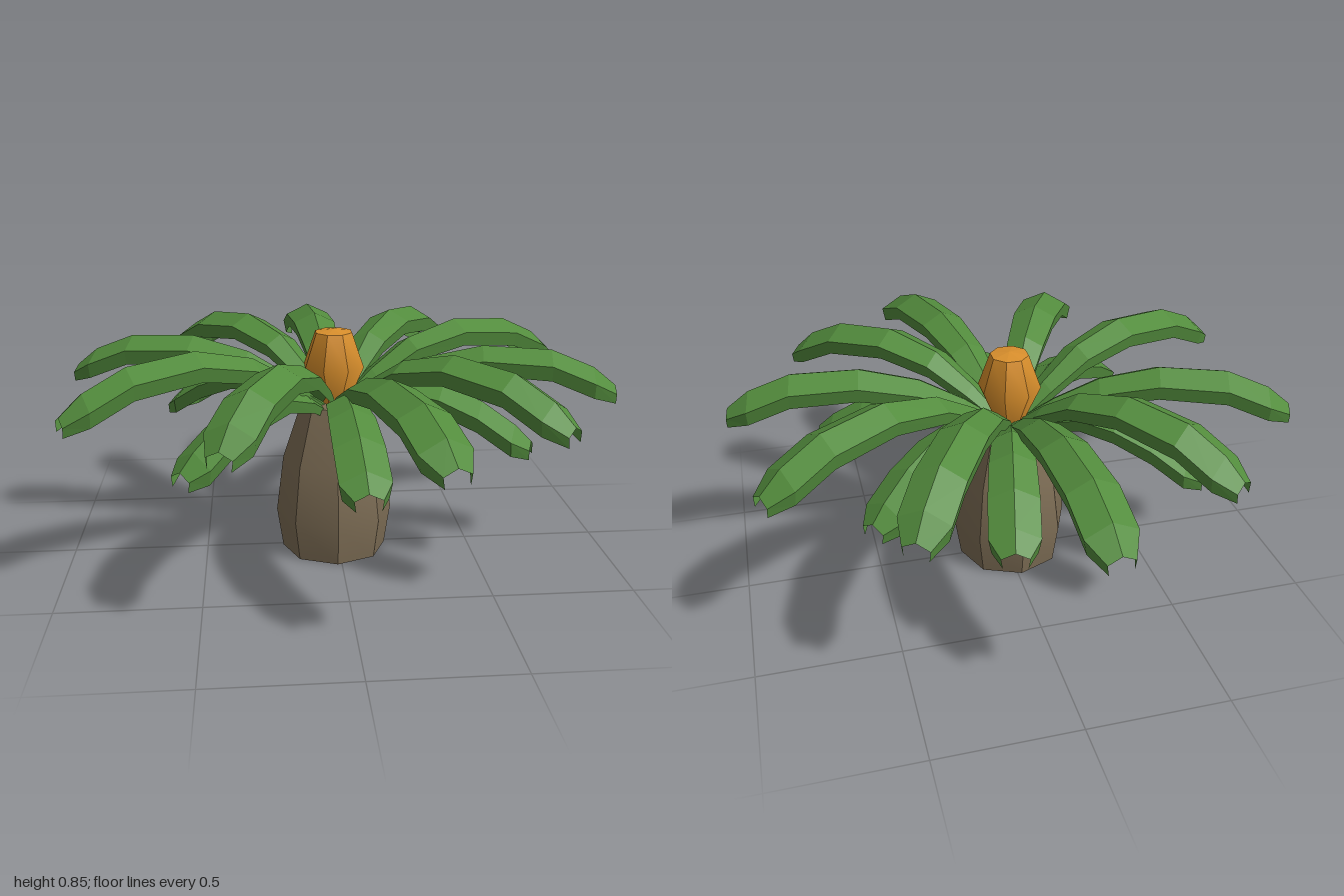
import * as THREE from 'three';
import { mergeGeometries, toCreasedNormals } from 'three/addons/utils/BufferGeometryUtils.js';

const paint = (name, options) => {
  const m = new THREE.MeshStandardMaterial(options);
  m.name = name;
  return m;
};

// Folded leaf with hanging side skirts, running along +x; rings are [distance, ridge height, half width]
function frondGeometry(rings) {
  const positions = [];
  const index = [];
  rings.forEach(([r, y, w], i) => {
    const edge = y - w * 0.48;
    const hem = edge - 0.015 - w * 0.45;
    positions.push(r, hem, -w * 0.88, r, edge, -w, r, y, 0, r, edge, w, r, hem, w * 0.88);
    if (i === 0) return;
    const b = i * 5, a = b - 5;
    for (let k = 0; k < 4; k++) {
      index.push(a + k, a + k + 1, b + k + 1, a + k, b + k + 1, b + k);
    }
  });
  const g = new THREE.BufferGeometry();
  g.setAttribute('position', new THREE.Float32BufferAttribute(positions, 3));
  g.setIndex(index);
  const out = g.toNonIndexed();
  out.computeVertexNormals();
  return out;
}

// Eight sharp-edged staves, each smooth along its height, from [radius, height] pairs
function turned(profile, phase, material, name) {
  const pts = profile.map(([r, y]) => new THREE.Vector2(r, y));
  const staves = [];
  for (let i = 0; i < 8; i++) {
    const stave = new THREE.LatheGeometry(pts, 1, phase + i * Math.PI / 4, Math.PI / 4);
    staves.push(toCreasedNormals(stave, 0.9));
  }
  const mesh = new THREE.Mesh(mergeGeometries(staves), material);
  mesh.name = name;
  return mesh;
}

export function createModel() {
  const bark = paint('bark brown', { color: 0x7c6c54 });
  const leaf = paint('leaf green', { color: 0x538c3d, flatShading: true, side: THREE.DoubleSide });
  const cone = paint('cone orange', { color: 0xd98f2c });

  const model = new THREE.Group();
  model.name = 'cycad';
  const plant = new THREE.Group();
  plant.name = 'plant';
  plant.position.set(-0.015, 0, 0.013);
  model.add(plant);

  // Swollen trunk and central seed cone
  plant.add(turned([[0, 0], [0.195, 0], [0.217, 0.15], [0.19, 0.36], [0.12, 0.57], [0, 0.58]], 0, bark, 'trunk'));
  plant.add(turned([[0, 0.54], [0.045, 0.55], [0.115, 0.71], [0.07, 0.835], [0, 0.845]], Math.PI / 8, cone, 'seedCone'));

  const arched = frondGeometry([
    [0.03, 0.57, 0.024], [0.16, 0.675, 0.05], [0.32, 0.775, 0.07], [0.53, 0.825, 0.083],
    [0.77, 0.8, 0.088], [0.92, 0.73, 0.088], [1, 0.66, 0.046],
  ]);
  const spread = frondGeometry([
    [0.03, 0.57, 0.024], [0.16, 0.66, 0.05], [0.32, 0.745, 0.07], [0.53, 0.795, 0.083],
    [0.77, 0.785, 0.088], [0.92, 0.725, 0.088], [1, 0.66, 0.046],
  ]);
  const lower = frondGeometry([
    [0.05, 0.56, 0.03], [0.15, 0.63, 0.05], [0.28, 0.68, 0.068], [0.41, 0.67, 0.08],
    [0.55, 0.62, 0.086], [0.67, 0.545, 0.086], [0.73, 0.49, 0.046],
  ]);

  // Each frond: [angle from +x toward +z in degrees, length scale]
  const addFronds = (geometry, list, name) => list.forEach(([deg, s]) => {
    const frond = new THREE.Mesh(geometry, leaf);
    frond.name = name;
    frond.rotation.y = -deg * Math.PI / 180;
    frond.scale.x = s;
    plant.add(frond);
  });
  addFronds(arched, [
    [-58.5, 0.935], [-25.5, 1.015], [42.5, 0.96], [117, 0.88], [156, 1.01], [232, 0.94],
  ], 'archedFrond');
  addFronds(spread, [[-94, 1.01], [10, 1.015], [74.5, 1.012], [197, 1.01]], 'spreadFrond');
  addFronds(lower, [
    [-77, 0.985], [-37, 0.985], [22, 1], [86, 1], [137.5, 1], [213, 1],
  ], 'lowerFrond');

  return model;
}
